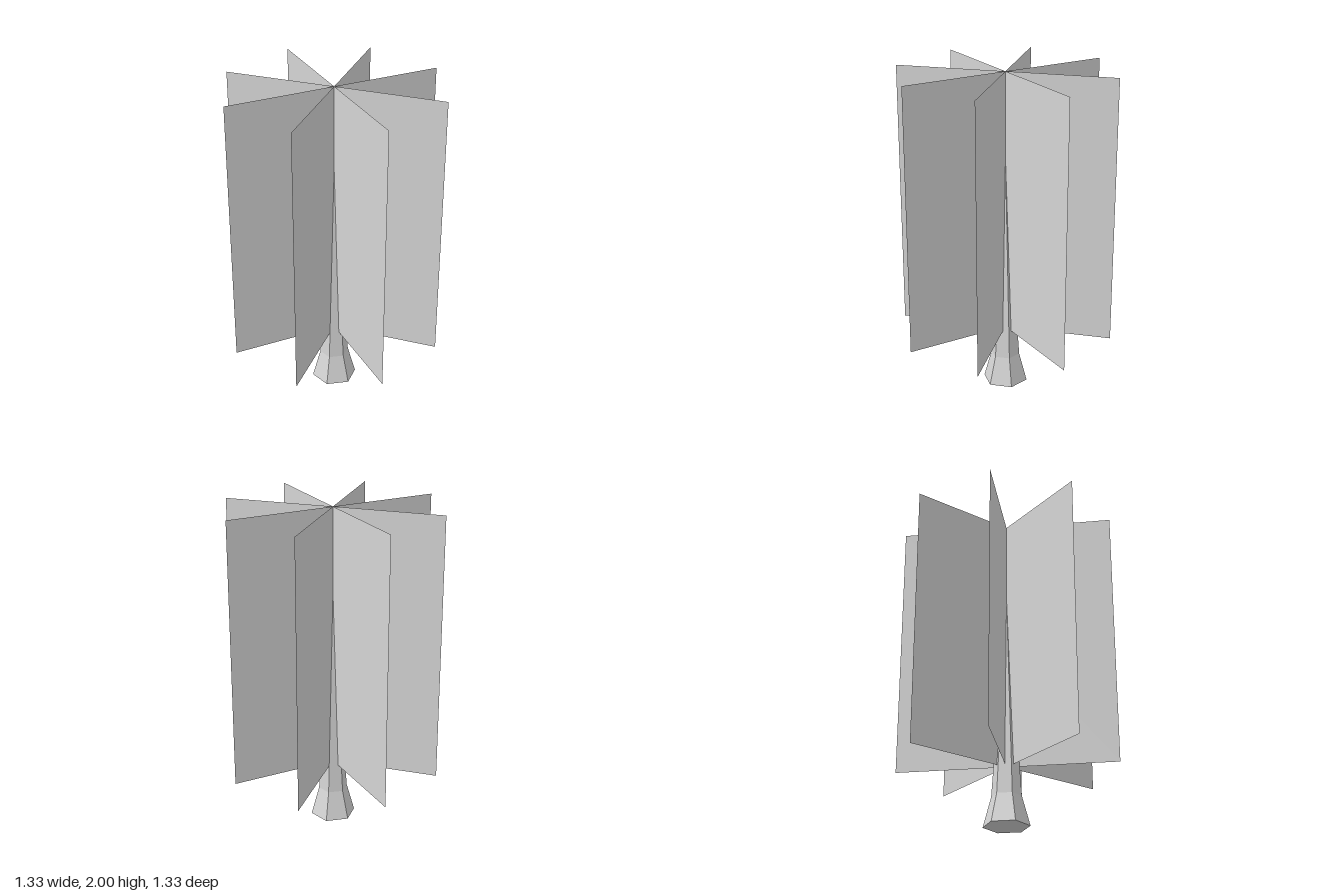
import * as THREE from 'three';

export function createModel() {
  const tree = new THREE.Group();
  tree.name = 'tree';

  const bark = new THREE.MeshStandardMaterial({ color: 0xd4d4d4, flatShading: true, side: THREE.DoubleSide });
  bark.name = 'pale grey';

  // Six-sided trunk: flared foot, then a long taper to a point
  const profile = [[0, 0], [0.139, 0], [0.09, 0.18], [0, 1.49]].map(([r, y]) => new THREE.Vector2(r, y));
  const trunk = new THREE.Mesh(new THREE.LatheGeometry(profile, 6), bark);
  trunk.name = 'trunk';
  tree.add(trunk);

  // Four upright foliage cards crossing on the trunk axis
  const foliage = new THREE.Group();
  foliage.name = 'foliage';
  const bottom = 0.36, top = 2, width = 1.33;
  const cardGeometry = new THREE.PlaneGeometry(width, top - bottom);
  for (let i = 0; i < 4; i++) {
    const card = new THREE.Mesh(cardGeometry, bark);
    card.name = `foliageCard${i + 1}`;
    card.position.y = (bottom + top) / 2;
    card.rotation.y = i * Math.PI / 4;
    foliage.add(card);
  }
  tree.add(foliage);

  return tree;
}
